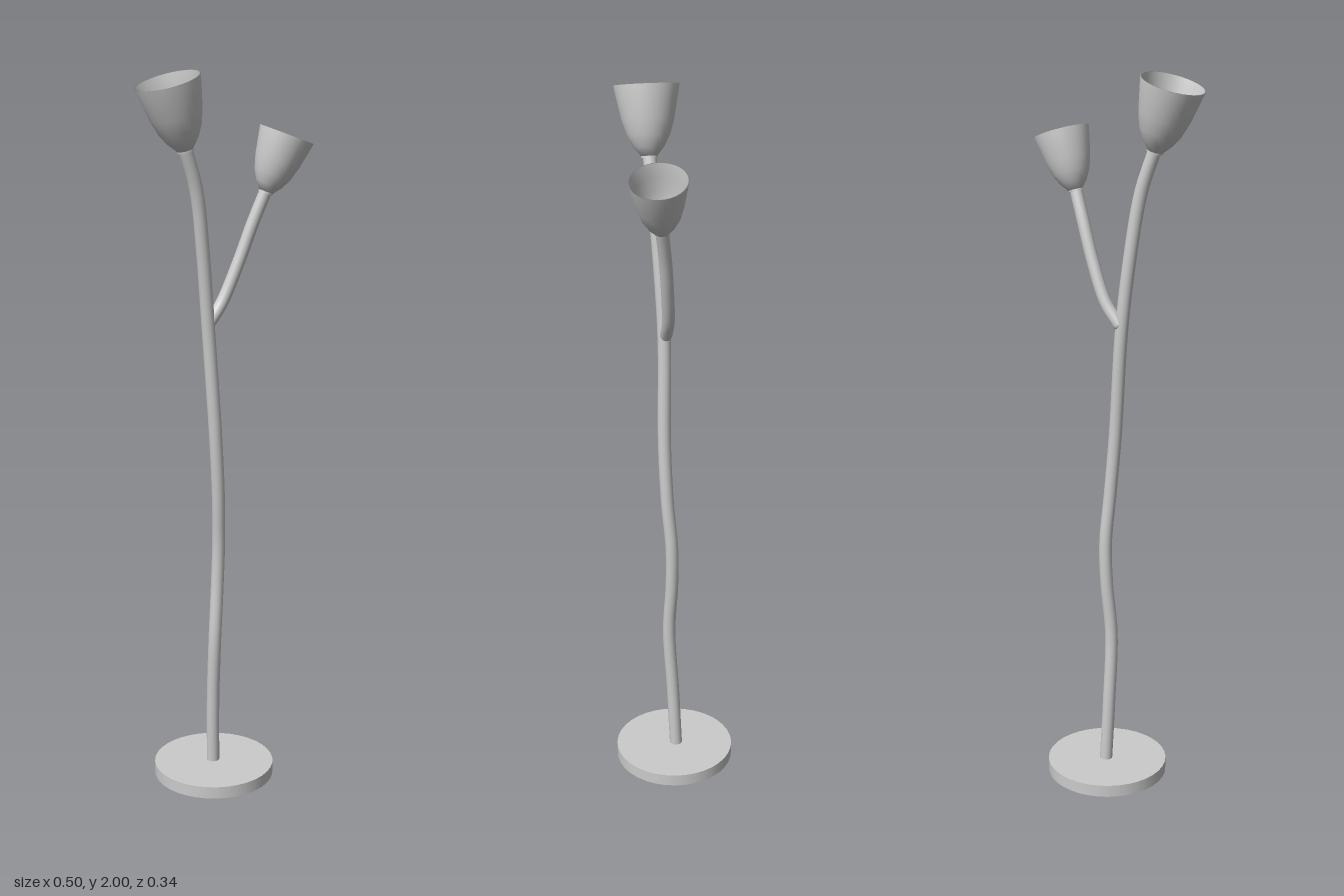
import * as THREE from 'three';

const grey = new THREE.MeshStandardMaterial({ color: 0xcccccc });
const greyDouble = new THREE.MeshStandardMaterial({ color: 0xcccccc, side: THREE.DoubleSide });
const vec = (p) => new THREE.Vector3(...p);

function part(name, geometry, material = grey) {
  const mesh = new THREE.Mesh(geometry, material);
  mesh.name = name;
  return mesh;
}

// Curved pipe with rounded ends
function pipe(name, points, radius, segments) {
  const group = new THREE.Group();
  group.name = name;
  const curve = new THREE.CatmullRomCurve3(points.map(vec));
  group.add(part(name + 'Tube', new THREE.TubeGeometry(curve, segments, radius, 16)));
  for (const end of [points[0], points[points.length - 1]]) {
    const cap = part(name + 'Cap', new THREE.SphereGeometry(radius, 16, 10));
    cap.position.set(...end);
    group.add(cap);
  }
  return group;
}

// Thin-walled tulip shade with a collar, aimed from its foot to its rim centre
function shade(name, foot, rim, scale) {
  const group = new THREE.Group();
  group.name = name;
  const outer = [[0.021, 0], [0.041, 0.025], [0.057, 0.055], [0.069, 0.095], [0.077, 0.135], [0.086, 0.182]];
  const inner = outer.map(([r, y]) => [r - 0.003, y + (y < 0.18 ? 0.003 : 0)]).reverse();
  const profile = [[0, 0], ...outer, ...inner, [0, 0.003]].map(([r, y]) => new THREE.Vector2(r, y));
  group.add(part(name + 'Bowl', new THREE.LatheGeometry(profile, 32), greyDouble));
  const collar = part(name + 'Collar', new THREE.CylinderGeometry(0.022, 0.022, 0.012, 24));
  collar.position.y = 0.002;
  group.add(collar);
  group.position.set(...foot);
  group.quaternion.setFromUnitVectors(new THREE.Vector3(0, 1, 0), vec(rim).sub(vec(foot)).normalize());
  group.scale.setScalar(scale);
  return group;
}

export function createModel() {
  const model = new THREE.Group();
  model.name = 'floorLamp';

  // Round foot plate
  const base = part('base', new THREE.CylinderGeometry(0.17, 0.17, 0.035, 36));
  base.position.set(-0.012, 0.0175, 0);
  model.add(base);

  // Main stem, gently wavy, rising to the taller shade
  model.add(pipe('stem', [
    [-0.012, 0.03, -0.005], [-0.016, 0.22, 0.004], [-0.015, 0.42, 0.015], [-0.004, 0.58, 0.007],
    [0, 0.7, 0.007], [-0.006, 0.84, 0.019], [-0.018, 1.02, 0.027], [-0.039, 1.32, 0.027],
    [-0.058, 1.52, 0.038], [-0.082, 1.69, 0.052], [-0.118, 1.805, 0.064],
  ], 0.018, 64));

  // Side branch to the lower shade
  model.add(pipe('branch', [
    [-0.032, 1.335, 0.022], [0.006, 1.385, 0.016], [0.053, 1.49, 0.018], [0.092, 1.595, 0.024], [0.126, 1.68, 0.032],
  ], 0.017, 28));

  model.add(shade('tallShade', [-0.118, 1.8, 0.064], [-0.168, 1.975, 0.071], 1));
  model.add(shade('lowShade', [0.125, 1.675, 0.032], [0.182, 1.826, 0.04], 0.875));
  return model;
}
